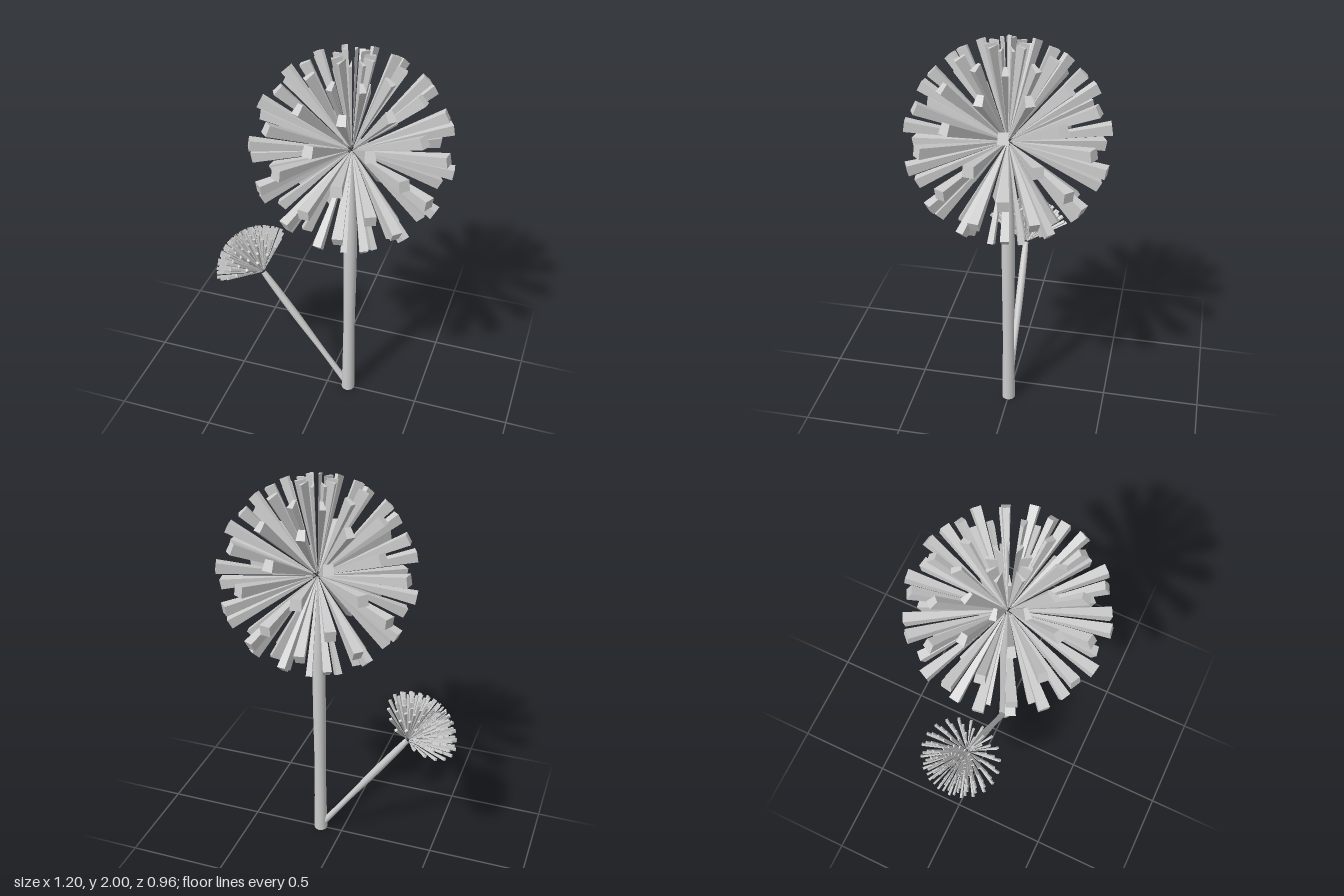
import * as THREE from 'three';

const grey = new THREE.MeshStandardMaterial({ color: 0xcccccc });
const spikeGrey = new THREE.MeshStandardMaterial({ color: 0xcccccc, flatShading: true });

const direction = (lat, lon) => new THREE.Vector3(
  Math.cos(lat) * Math.cos(lon), Math.sin(lat), Math.cos(lat) * Math.sin(lon));

// One spike: a sphere patch shrunk to its middle and drawn in towards the centre.
function addSpike(positions, lat, lon, step, radius, fill) {
  const h = step / 2;
  const corners = [[-h, -h], [-h, h], [h, h], [h, -h]]
    .map(([a, b]) => direction(lat + a, lon + b));
  const middle = corners.reduce((s, c) => s.add(c), new THREE.Vector3()).multiplyScalar(0.25);
  const scale = radius / middle.length();
  const out = corners.map(c => middle.clone().lerp(c, fill).multiplyScalar(scale));
  const low = out.map(p => p.clone().multiplyScalar(0.05));
  const quad = (a, b, c, d) => [a, b, c, a, c, d].forEach(p => positions.push(p.x, p.y, p.z));
  quad(out[3], out[2], out[1], out[0]);
  quad(low[0], low[1], low[2], low[3]);
  for (let i = 0; i < 4; i++) {
    const j = (i + 1) % 4;
    quad(low[i], out[i], out[j], low[j]);
  }
}

// A ball or cap of spikes on every second patch, like a chequerboard,
// from the lowest ring (counted from the equator) up to the pole.
function makeHead(name, radius, segments, firstRing, fill) {
  const positions = [];
  const step = Math.PI * 2 / segments;
  for (let ring = firstRing; ring < segments / 4; ring++) {
    for (let k = Math.abs(ring) % 2; k < segments; k += 2) {
      addSpike(positions, (ring + 0.5) * step, (k + 0.5) * step, step, radius, fill);
    }
  }
  const geometry = new THREE.BufferGeometry();
  geometry.setAttribute('position', new THREE.Float32BufferAttribute(positions, 3));
  geometry.computeVertexNormals();
  const mesh = new THREE.Mesh(geometry, spikeGrey);
  mesh.name = name;
  return mesh;
}

// A gently uneven round stalk with a closed foot.
function makeStem(name, profile) {
  const curve = new THREE.SplineCurve(profile.map(([r, y]) => new THREE.Vector2(r, y)));
  const body = new THREE.Mesh(new THREE.LatheGeometry(curve.getPoints(20), 16), grey);
  const foot = new THREE.Mesh(new THREE.CircleGeometry(profile[0][0], 16), grey);
  foot.rotation.x = Math.PI / 2;
  foot.position.y = profile[0][1];
  const group = new THREE.Group();
  group.name = name;
  body.name = name + 'Body';
  foot.name = name + 'Foot';
  group.add(body, foot);
  return group;
}

export function createModel() {
  const model = new THREE.Group();
  model.name = 'spikyFlowers';

  // Tall flower, its ball open below where the stem enters
  const tall = new THREE.Group();
  tall.name = 'tallFlower';
  tall.position.x = 0.12;
  const ball = makeHead('flowerBall', 0.482, 20, -4, 0.34);
  ball.position.y = 1.522;
  tall.add(ball, makeStem('mainStem',
    [[0.035, 0], [0.03, 0.4], [0.033, 0.8], [0.03, 1.1], [0.006, 1.52]]));

  // Small leaning flower with a half-open head of finer spikes
  const small = new THREE.Group();
  small.name = 'smallFlower';
  small.position.set(0.115, 0.02, 0);
  small.rotation.z = 0.615;
  const cap = makeHead('flowerCap', 0.245, 40, 3, 0.38);
  cap.position.y = 0.815;
  small.add(cap, makeStem('sideStem',
    [[0.018, 0], [0.015, 0.25], [0.02, 0.5], [0.018, 0.72], [0.014, 0.815]]));

  model.add(tall, small);
  return model;
}
